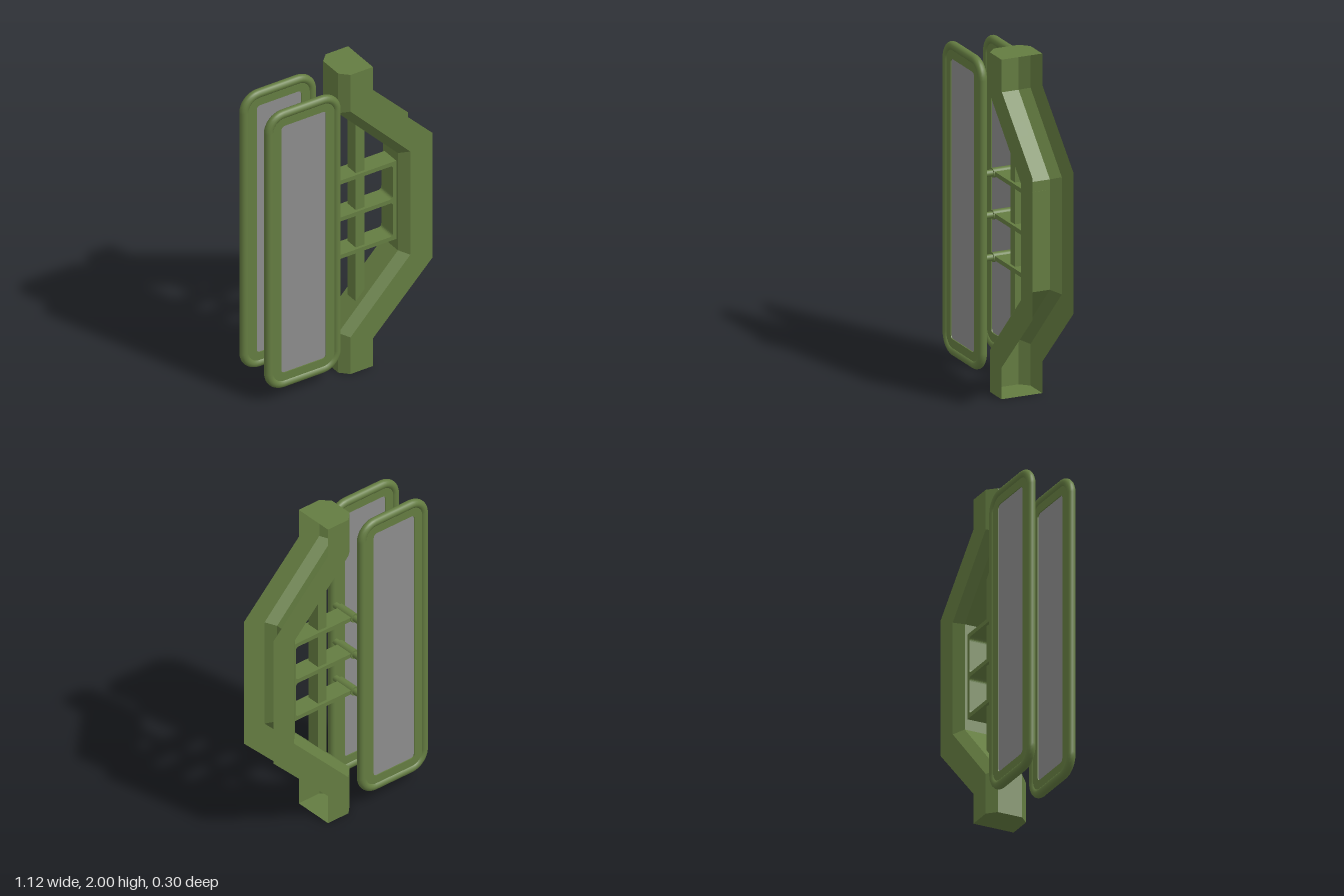
import * as THREE from 'three';

const mat = (color, flat = false) => new THREE.MeshStandardMaterial({ color, flatShading: flat, side: THREE.DoubleSide });

function add(parent, name, geometry, material) {
  const mesh = new THREE.Mesh(geometry, material);
  mesh.name = name;
  parent.add(mesh);
  return mesh;
}

// Rounded rectangle around the origin, w and h are half sizes
function roundRect(w, h, r, target = new THREE.Shape()) {
  target.moveTo(w, -h + r).lineTo(w, h - r);
  target.absarc(w - r, h - r, r, 0, Math.PI / 2);
  target.lineTo(-w + r, h);
  target.absarc(-w + r, h - r, r, Math.PI / 2, Math.PI);
  target.lineTo(-w, -h + r);
  target.absarc(-w + r, -h + r, r, Math.PI, Math.PI * 1.5);
  target.lineTo(w - r, -h);
  target.absarc(w - r, -h + r, r, Math.PI * 1.5, Math.PI * 2);
  return target;
}

// Extrusion centred on z = 0
function slab(shape, depth) {
  const g = new THREE.ExtrudeGeometry(shape, { depth, bevelEnabled: false, curveSegments: 6 });
  return g.translate(0, 0, -depth / 2);
}

class RimCurve extends THREE.Curve {
  constructor(path) { super(); this.path = path; }
  getPoint(t, target = new THREE.Vector3()) {
    const p = this.path.getPointAt(t);
    return target.set(p.x, p.y, 0);
  }
}

// Bent channel, open on its outer side, from cross-sections top to bottom
function channelGeometry() {
  // Each station: inner, chamfer and outer edge as [x, y]
  const stations = [
    [[-0.04, 2], [0.01, 2], [0.16, 2]],
    [[-0.04, 1.735], [0.01, 1.755], [0.16, 1.815]],
    [[0.36, 1.325], [0.41, 1.345], [0.56, 1.415]],
    [[0.36, 0.675], [0.41, 0.655], [0.56, 0.585]],
    [[-0.04, 0.265], [0.01, 0.245], [0.16, 0.185]],
    [[-0.04, 0], [0.01, 0], [0.16, 0]],
  ];
  const section = [[2, 0.127], [1, 0.127], [0, 0.077], [0, -0.077], [1, -0.127], [2, -0.127]];
  const rings = stations.map(s => section.map(([k, z]) => [s[k][0], s[k][1], z]));
  const pos = [];
  const tri = (...corners) => corners.forEach(c => pos.push(...c));
  for (let i = 0; i < rings.length - 1; i++) {
    for (let j = 0; j < section.length - 1; j++) {
      const a = rings[i][j], b = rings[i][j + 1], c = rings[i + 1][j + 1], d = rings[i + 1][j];
      tri(a, b, d);
      tri(b, c, d);
    }
  }
  // End caps
  const top = rings[0], bottom = rings[rings.length - 1];
  for (let j = 1; j < section.length - 1; j++) {
    tri(top[0], top[j + 1], top[j]);
    tri(bottom[0], bottom[j], bottom[j + 1]);
  }
  const g = new THREE.BufferGeometry();
  g.setAttribute('position', new THREE.Float32BufferAttribute(pos, 3));
  g.computeVertexNormals();
  return g;
}

// Three rungs joined by a back plate, with filleted inner corners
function bracketShape(rungs) {
  const t = 0.013, x0 = -0.065, x1 = 0.338, r = 0.022;
  const s = new THREE.Shape();
  s.moveTo(x0, rungs[0] - t).lineTo(0.362, rungs[0] - t);
  s.lineTo(0.362, rungs[2] + t).lineTo(x0, rungs[2] + t);
  for (let i = 2; i > 0; i--) {
    const hi = rungs[i] - t, lo = rungs[i - 1] + t;
    s.lineTo(x0, hi).lineTo(x1 - r, hi);
    s.quadraticCurveTo(x1, hi, x1, hi - r);
    s.lineTo(x1, lo + r);
    s.quadraticCurveTo(x1, lo, x1 - r, lo);
    s.lineTo(x0, lo);
  }
  s.lineTo(x0, rungs[0] - t);
  return s;
}

function createPad(green, grey) {
  const pad = new THREE.Group();
  // Round outer rim
  const rim = new RimCurve(roundRect(0.226, 0.898, 0.095, new THREE.Path()));
  add(pad, 'padRim', new THREE.TubeGeometry(rim, 240, 0.026, 14, true), green);
  // Flat border with a window
  const border = roundRect(0.215, 0.887, 0.085);
  border.holes.push(roundRect(0.149, 0.825, 0.022, new THREE.Path()));
  add(pad, 'padBorder', slab(border, 0.03), green);
  // Panel in the window
  add(pad, 'padPanel', slab(roundRect(0.15, 0.826, 0.022), 0.018), grey);
  return pad;
}

export function createModel() {
  const model = new THREE.Group();
  model.name = 'paddedBracket';
  const green = mat(0x647c41), flatGreen = mat(0x647c41, true), grey = mat(0x8c8c8c);

  add(model, 'channelFrame', channelGeometry(), flatGreen);

  // Upright bar, its ends cut to meet the sloping arms
  const bar = new THREE.Shape([[0.1, 0.408], [0.16, 0.47], [0.16, 1.53], [0.1, 1.592]].map(p => new THREE.Vector2(...p)));
  add(model, 'uprightBar', slab(bar, 0.085), flatGreen);

  const rungs = [0.755, 1.005, 1.252];
  add(model, 'rungBracket', slab(bracketShape(rungs), 0.12), flatGreen);

  // Sleeve and cross rod at the end of each rung
  for (const y of rungs) {
    const sleeve = add(model, 'rungSleeve', new THREE.CylinderGeometry(0.028, 0.028, 0.13, 16), green);
    const rod = add(model, 'crossRod', new THREE.CylinderGeometry(0.019, 0.019, 0.25, 16), green);
    for (const part of [sleeve, rod]) {
      part.rotation.x = Math.PI / 2;
      part.position.set(-0.089, y, 0);
    }
  }

  // Front and back pads
  for (const side of [1, -1]) {
    const pad = createPad(green, grey);
    pad.name = side > 0 ? 'frontPad' : 'backPad';
    pad.position.set(-0.312, 1.004, side * 0.126);
    model.add(pad);
  }
  return model;
}
